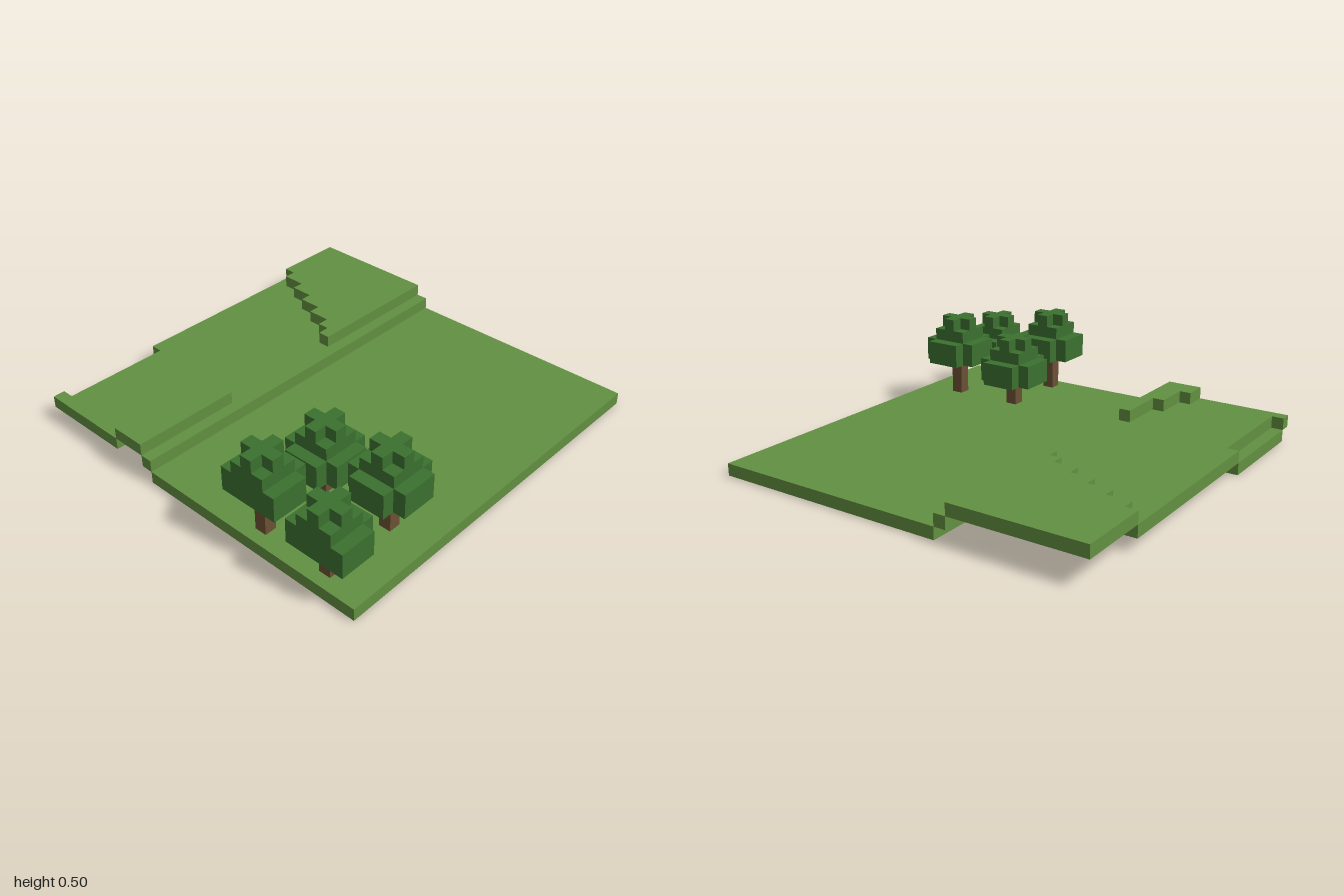
import * as THREE from 'three';

const U = 1 / 16; // size of one block

const grass = new THREE.MeshStandardMaterial({ color: 0x629041 });
grass.name = 'grass green';
const leaves = new THREE.MeshStandardMaterial({ color: 0x3b712f });
leaves.name = 'leaf green';
const bark = new THREE.MeshStandardMaterial({ color: 0x6c5135 });
bark.name = 'bark brown';

const toVectors = (points) => points.map(([x, z]) => new THREE.Vector2(x * U, z * U));

// Flat slab from an outline in blocks (x, z), between two heights in blocks
function slab(name, outline, bottom, top, material, holes = []) {
  const shape = new THREE.Shape(toVectors(outline));
  for (const hole of holes) shape.holes.push(new THREE.Path(toVectors(hole)));
  const geometry = new THREE.ExtrudeGeometry(shape, { depth: (top - bottom) * U, bevelEnabled: false });
  geometry.rotateX(Math.PI / 2);
  geometry.translate(0, top * U, 0);
  const mesh = new THREE.Mesh(geometry, material);
  mesh.name = name;
  return mesh;
}

const rect = (x0, z0, x1, z1) => [[x0, z0], [x1, z0], [x1, z1], [x0, z1]];
const square = (x, z, half) => rect(x - half, z - half, x + half, z + half);

// Square without its corners, cut off at the front edge of the land
function cross(x, z, outer, inner) {
  const a = outer, b = inner;
  return [[-b, -a], [b, -a], [b, -b], [a, -b], [a, b], [b, b], [b, a], [-b, a], [-b, b], [-a, b], [-a, -b], [-b, -b]]
    .map(([dx, dz]) => [x + dx, Math.min(z + dz, 16)])
    .filter((p, i, all) => i === 0 || p[0] !== all[i - 1][0] || p[1] !== all[i - 1][1]);
}

function createTree(x, z, base) {
  const tree = new THREE.Group();
  tree.name = 'tree';
  tree.add(
    slab('trunk', square(x, z, 0.5), 0, base, bark),
    slab('lowerCanopy', cross(x, z, 2.5, 1.5), base, base + 2, leaves),
    slab('upperCanopy', square(x, z, 1.5), base + 2, base + 3, leaves),
    slab('treeTop', cross(x, z, 1.5, 0.5), base + 3, base + 4, leaves),
  );
  return tree;
}

export function createModel() {
  const model = new THREE.Group();
  model.name = 'blockLandscape';

  // Tree spots: x, z and height of the lowest leaves
  const trees = [[6.5, 14.5, 4], [12.5, 14.5, 3], [6.5, 8.5, 3], [12.5, 8.5, 4]];

  // Stepped borders shared by neighbouring levels
  const backSteps = [
    [-16, -10], [-15, -10], [-15, -9], [-13, -9], [-13, -8], [-11, -8], [-11, -7],
    [-9, -7], [-9, -6], [-7, -6], [-7, -5], [-6, -5], [-6, -4], [-5, -4],
  ];
  const frontSteps = [[-5, 7], [-6, 7], [-6, 11], [-7, 11], [-7, 14], [-8, 14], [-8, 16]];

  // Low ground, with openings for the trunks
  model.add(slab('lowGround', rect(-4, -16, 16, 16), 0, 1, grass,
    trees.map(([x, z]) => square(x, z, 0.5))));
  model.add(slab('dip', rect(-16, 6, -15, 15), 0, 1, grass));

  // Middle level, running along the whole step
  model.add(slab('middleGround', [
    ...backSteps, [-5, -16], [-4, -16], [-4, 16], [-5, 16],
    ...frontSteps, [-16, 16], [-16, 15], [-15, 15], [-15, 6], [-16, 6],
  ], 1, 2, grass));

  // High level at the back and at the front
  model.add(slab('backPlateau', [...backSteps, [-5, -16], [-16, -16]], 2, 3, grass));
  model.add(slab('frontMound', [...frontSteps, [-5, 16]], 2, 3, grass));

  for (const [x, z, base] of trees) model.add(createTree(x, z, base));
  return model;
}
